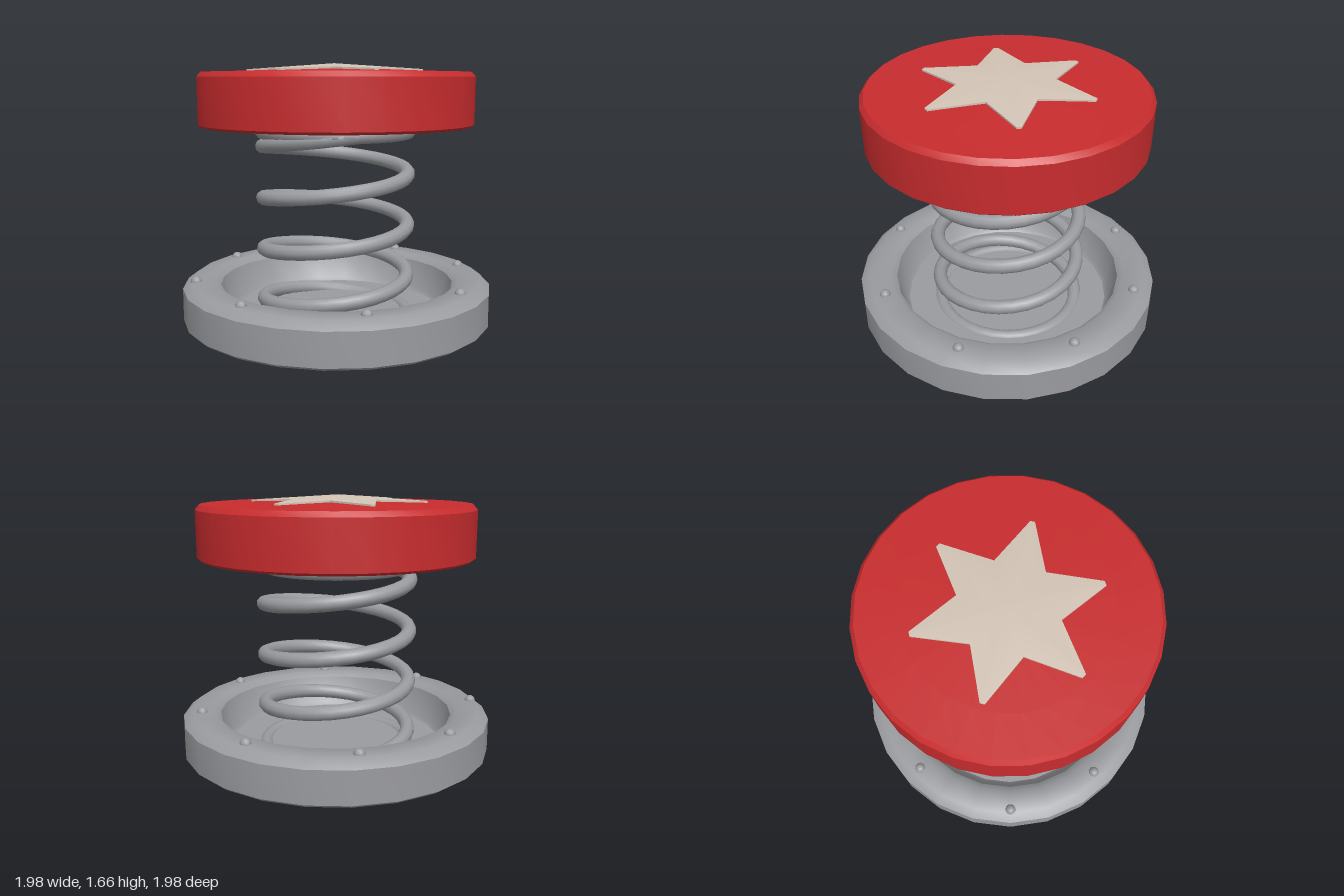
import * as THREE from 'three';
import { toCreasedNormals } from 'three/addons/utils/BufferGeometryUtils.js';

const steel = new THREE.MeshStandardMaterial({ color: 0x9a9b9f });
steel.name = 'steel grey';
const red = new THREE.MeshStandardMaterial({ color: 0xc82c2e });
red.name = 'red';
const cream = new THREE.MeshStandardMaterial({ color: 0xd3c5b6 });
cream.name = 'cream';

function addMesh(parent, name, geometry, material) {
  const mesh = new THREE.Mesh(geometry, material);
  mesh.name = name;
  parent.add(mesh);
  return mesh;
}

function lathe(profile, sides) {
  const points = profile.map(([r, y]) => new THREE.Vector2(r, y));
  return toCreasedNormals(new THREE.LatheGeometry(points, sides), 0.65);
}

// Helix whose two ends flatten into closed rings
class SpringCurve extends THREE.Curve {
  getPoint(t, target = new THREE.Vector3()) {
    const a = THREE.MathUtils.lerp(-3.8, 3.72, t) * Math.PI * 2 * 0.98;
    const y = THREE.MathUtils.clamp(0.945 - 0.33 * a / (Math.PI * 2), 0.046, 1.24);
    return target.set(Math.cos(a) * 0.465 - 0.01, y, Math.sin(a) * 0.465);
  }
}

// Shallow faceted star: a raised centre, a blunt-tipped rim and a short skirt
function starGeometry() {
  const rim = [];
  for (let i = 0; i < 6; i++) {
    const a = -Math.PI / 2 + i * Math.PI / 3;
    for (const side of [-0.025, 0.025]) {
      rim.push([Math.cos(a + side) * 0.555, 1.628, Math.sin(a + side) * 0.555]);
    }
    const b = a + Math.PI / 6;
    rim.push([Math.cos(b) * 0.295, 1.64, Math.sin(b) * 0.295]);
  }
  const positions = [];
  rim.forEach((p, i) => {
    const q = rim[(i + 1) % rim.length];
    const pLow = [p[0], 1.6, p[2]];
    const qLow = [q[0], 1.6, q[2]];
    positions.push(0, 1.665, 0, ...q, ...p);
    positions.push(...p, ...q, ...qLow, ...p, ...qLow, ...pLow);
  });
  const geometry = new THREE.BufferGeometry();
  geometry.setAttribute('position', new THREE.Float32BufferAttribute(positions, 3));
  geometry.computeVertexNormals();
  return toCreasedNormals(geometry, 0.5);
}

export function createModel() {
  const model = new THREE.Group();
  model.name = 'springPad';

  // Dished base with a chamfered rim
  addMesh(model, 'base', lathe([
    [0, 0.03], [0.965, 0.03], [0.99, 0.05], [0.99, 0.255], [0.93, 0.3],
    [0.79, 0.3], [0.75, 0.27], [0.7, 0.09], [0.68, 0.07], [0, 0.07],
  ], 24), steel);

  // Rivets around the rim, above and below
  const rivets = new THREE.Group();
  rivets.name = 'rivets';
  const rivetGeometry = new THREE.SphereGeometry(0.035, 10, 8);
  const rivetSpots = [
    [-0.06, -0.87], [0.55, -0.67], [0.86, -0.05], [0.61, 0.6],
    [-0.06, 0.87], [-0.64, 0.64], [-0.87, 0], [-0.65, -0.58],
  ];
  for (const [x, z] of rivetSpots) {
    addMesh(rivets, 'topRivet', rivetGeometry, steel).position.set(x, 0.298, z);
    addMesh(rivets, 'bottomRivet', rivetGeometry, steel).position.set(x, 0.044, z);
  }
  model.add(rivets);

  // Coil spring
  addMesh(model, 'spring', new THREE.TubeGeometry(new SpringCurve(), 240, 0.046, 10), steel);

  // Round cap with a faintly domed top
  const cap = addMesh(model, 'cap', lathe([
    [0, 1.275], [0.85, 1.275], [0.868, 1.29], [0.87, 1.58],
    [0.845, 1.61], [0.6, 1.616], [0.3, 1.628], [0, 1.632],
  ], 28), red);
  cap.position.x = -0.007;

  // Star on the cap
  const star = addMesh(model, 'star', starGeometry(), cream);
  star.position.set(-0.012, 0, 0.01);

  return model;
}
